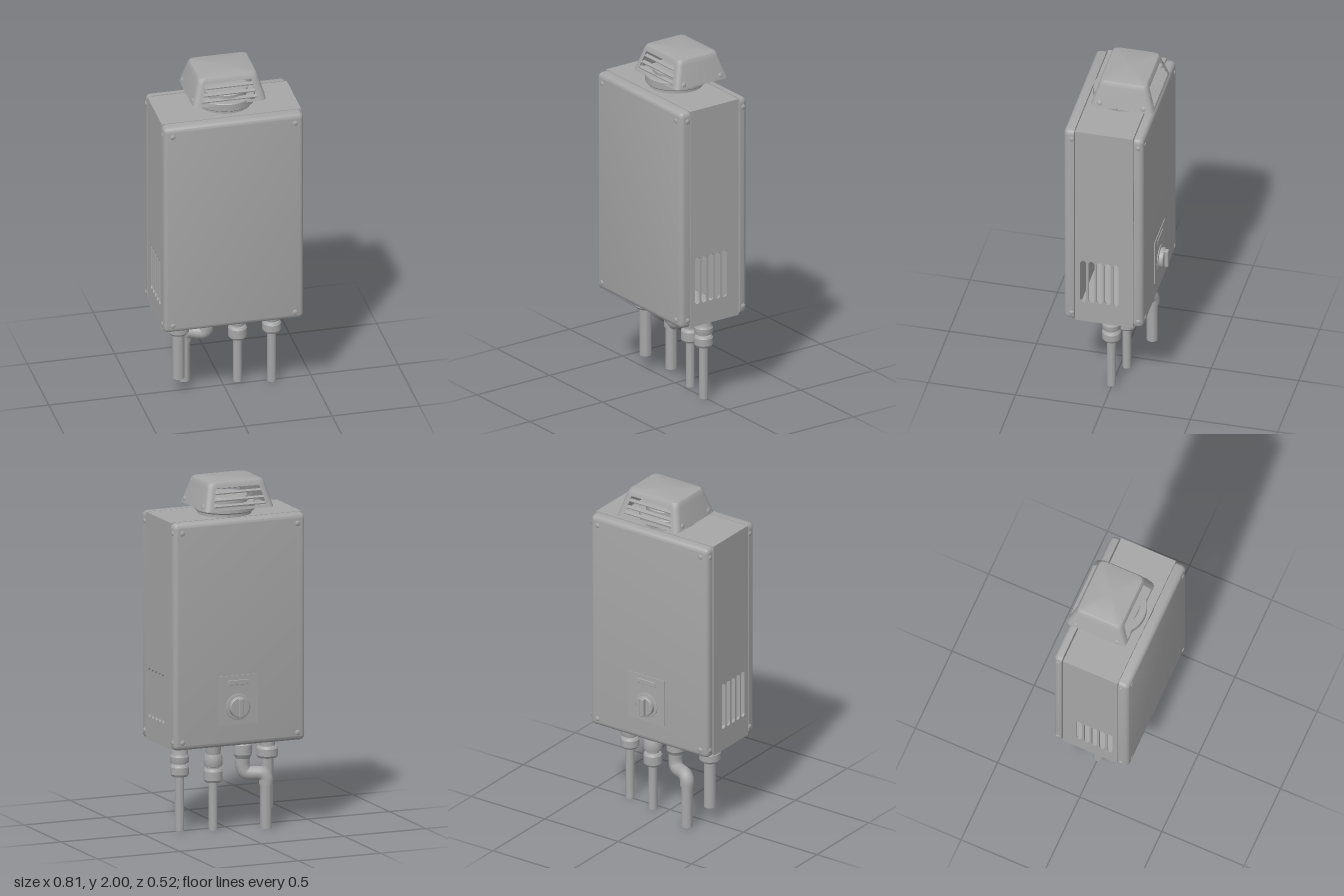
import * as THREE from 'three';
import { toCreasedNormals } from 'three/addons/utils/BufferGeometryUtils.js';
import { RoundedBoxGeometry } from 'three/addons/geometries/RoundedBoxGeometry.js';

const grey = new THREE.MeshStandardMaterial({ color: 0xa6a6a6, side: THREE.DoubleSide });
grey.name = 'grey';

const W = 0.8, BOTTOM = 0.5, TOP = 1.79, MID = (BOTTOM + TOP) / 2, H = TOP - BOTTOM;

function add(parent, name, geometry, x = 0, y = 0, z = 0) {
  const mesh = new THREE.Mesh(geometry, grey);
  mesh.name = name;
  mesh.position.set(x, y, z);
  parent.add(mesh);
  return mesh;
}

// Lathe from [radius, y] pairs, bottom to top, with crisp shoulders
function turned(profile, sides = 24) {
  const points = profile.map(([r, y]) => new THREE.Vector2(r, y));
  return toCreasedNormals(new THREE.LatheGeometry(points, sides), 0.5);
}

// Cover panel with rounded outer edges and a flat inner face at z = 0
function coverPanel(depth) {
  const r = 0.028;
  const g = new RoundedBoxGeometry(W, H, depth + r, 4, r);
  g.translate(0, 0, (depth - r) / 2);
  const p = g.attributes.position;
  for (let i = 0; i < p.count; i++) p.setZ(i, Math.max(0, p.getZ(i)));
  return toCreasedNormals(g, 0.6);
}

// Side plate drawn in (z, y) with five rounded ventilation slots
function sidePlate() {
  const s = new THREE.Shape();
  s.moveTo(-0.147, BOTTOM).lineTo(0.185, BOTTOM).lineTo(0.185, TOP).lineTo(-0.147, TOP).closePath();
  const r = 0.017;
  for (let i = 0; i < 5; i++) {
    const c = 0.137 - i * 0.0465;
    const slot = new THREE.Path();
    slot.absarc(c, 0.91 - r, r, 0, Math.PI);
    slot.absarc(c, 0.63 + r, r, Math.PI, 2 * Math.PI);
    slot.closePath();
    s.holes.push(slot);
  }
  const g = new THREE.ExtrudeGeometry(s, { depth: 0.012, bevelEnabled: false, curveSegments: 8 });
  g.rotateY(-Math.PI / 2); // (z, y, depth) -> x = -depth, z = shape x
  g.translate(0.006, 0, 0);
  return g;
}

// One ring of the cowl: rounded rectangle, with the opening corners at +-o
function cowlRing(y, hw, hd) {
  const r = 0.03, o = hw - 0.045, ring = [[-o, y, hd], [o, y, hd]];
  const corner = (sx, sz, start) => {
    for (let i = 0; i <= 4; i++) {
      const a = start - i * Math.PI / 8;
      ring.push([sx * (hw - r) + r * Math.cos(a), y, sz * (hd - r) + r * Math.sin(a)]);
    }
  };
  corner(1, 1, Math.PI / 2);
  corner(1, -1, 0);
  ring.push([o, y, -hd], [-o, y, -hd]);
  corner(-1, -1, -Math.PI / 2);
  corner(-1, 1, -Math.PI);
  return ring;
}

// Tapered cowl shell, open below and with a window front and back
function cowlShell() {
  const rings = [
    [1.845, 0.21, 0.181], [1.86, 0.206, 0.176], [1.968, 0.176, 0.142],
    [1.985, 0.171, 0.137], [1.996, 0.164, 0.13], [2.0, 0.152, 0.118],
  ].map((level) => cowlRing(...level));
  const n = rings[0].length, index = [];
  for (let j = 0; j < rings.length - 1; j++) {
    for (let i = 0; i < n; i++) {
      if (j === 1 && (i === 0 || i === 12)) continue;
      const k = (i + 1) % n, a = j * n + i, b = j * n + k;
      index.push(a, b, b + n, a, b + n, a + n);
    }
  }
  const last = (rings.length - 1) * n, centre = rings.length * n;
  for (let i = 0; i < n; i++) index.push(last + i, last + (i + 1) % n, centre);
  const g = new THREE.BufferGeometry();
  g.setAttribute('position', new THREE.Float32BufferAttribute([...rings.flat(2), 0, 2, 0], 3));
  g.setIndex(index);
  return toCreasedNormals(g, 0.6);
}

export function createModel() {
  const model = new THREE.Group();
  model.name = 'waterHeater';

  // Hollow casing between two separate cover panels
  const casing = new THREE.Group();
  casing.name = 'casing';
  model.add(casing);
  for (const s of [-1, 1]) add(casing, 'sidePlate', sidePlate(), s * 0.393);
  for (const y of [BOTTOM + 0.007, TOP - 0.007]) {
    add(casing, y < 1 ? 'floorPlate' : 'roofPlate', new THREE.BoxGeometry(0.78, 0.014, 0.332), 0, y, 0.019);
  }
  add(model, 'frontPanel', coverPanel(0.06), 0, MID, 0.19);
  add(model, 'backPanel', coverPanel(0.05), 0, MID, -0.155).rotation.y = Math.PI;

  // Screws at the panel corners and along the panel sides
  const screw = new THREE.SphereGeometry(0.015, 12, 6, 0, Math.PI * 2, 0, Math.PI / 2);
  screw.scale(1, 0.45, 1);
  for (const y of [0.545, 1.735]) {
    for (const s of [-1, 1]) {
      add(model, 'frontScrew', screw, s * 0.35, y, 0.249).rotation.x = Math.PI / 2;
      add(model, 'backScrew', screw, s * 0.35, y, -0.204).rotation.x = -Math.PI / 2;
      for (const z of [0.204, -0.177]) add(model, 'sideScrew', screw, s * 0.399, y, z).rotation.z = -s * Math.PI / 2;
    }
  }

  // Flue collar on the roof
  add(model, 'flueCollar', turned([
    [0.15, 1.785], [0.15, 1.805], [0.165, 1.81], [0.17, 1.815], [0.17, 1.855], [0.165, 1.86],
    [0.13, 1.86], [0.13, 1.89], [0.125, 1.895], [0, 1.895],
  ], 40), 0.005);

  // Cowl with tilted louvres front and back
  const cowl = new THREE.Group();
  cowl.name = 'cowl';
  cowl.position.set(0.004, 0, -0.037);
  model.add(cowl);
  add(cowl, 'cowlShell', cowlShell());
  for (const s of [-1, 1]) {
    [1.94, 1.902, 1.87].forEach((y) => {
      const t = (y - 1.845) / 0.155;
      const slat = add(cowl, 'louvre', new THREE.BoxGeometry(0.336 - 0.085 * t, 0.007, 0.022), 0, y, s * (0.17 - 0.05 * t));
      slat.rotation.x = s * 0.3;
    });
    for (const z of [0.127, -0.123]) add(cowl, 'cowlScrew', screw, s * 0.202, 1.868, z).rotation.z = -s * 1.3;
  }

  // Control plate, label and rotary knob on the back
  const control = new THREE.Group();
  control.name = 'control';
  control.position.set(0.014, 0.725, -0.205);
  control.rotation.y = Math.PI;
  model.add(control);
  add(control, 'controlPlate', new THREE.BoxGeometry(0.24, 0.28, 0.006), 0, 0.038, 0.001);
  add(control, 'controlLabel', new RoundedBoxGeometry(0.125, 0.028, 0.008, 2, 0.003), 0, 0.138, 0.004);
  add(control, 'knob', turned([
    [0.075, 0], [0.075, 0.008], [0.07, 0.01], [0.058, 0.01], [0.058, 0.03], [0.054, 0.034], [0, 0.034],
  ], 32)).rotation.x = Math.PI / 2;
  add(control, 'knobGrip', new RoundedBoxGeometry(0.03, 0.108, 0.034, 2, 0.006), 0, 0, 0.038);

  // Service pipes with union nuts under the casing
  const straightPipes = [
    ['outletPipe', -0.262, 0.014, [[0, 0.09], [0.034, 0.09], [0.034, 0.37], [0.052, 0.372], [0.061, 0.385],
      [0.061, 0.425], [0.052, 0.438], [0.045, 0.44], [0.045, 0.51]]],
    ['gasPipe', 0.09, -0.038, [[0, 0], [0.025, 0], [0.025, 0.27], [0.045, 0.272], [0.053, 0.285], [0.053, 0.335],
      [0.045, 0.348], [0.036, 0.35], [0.036, 0.36], [0.05, 0.365], [0.053, 0.38], [0.053, 0.41], [0.046, 0.43],
      [0.04, 0.43], [0.05, 0.51]]],
    ['inletPipe', 0.275, 0.005, [[0, 0], [0.025, 0], [0.025, 0.31], [0.045, 0.312], [0.053, 0.325], [0.053, 0.365],
      [0.045, 0.378], [0.036, 0.38], [0.036, 0.387], [0.05, 0.39], [0.053, 0.4], [0.053, 0.425], [0.046, 0.437],
      [0.044, 0.51]]],
    ['drainUnion', -0.08, -0.06, [[0.036, 0.39], [0.046, 0.41], [0.052, 0.42], [0.052, 0.475], [0.044, 0.485], [0.042, 0.51]]],
    ['drainPipe', -0.197, -0.115, [[0, 0], [0.032, 0], [0.032, 0.255], [0.04, 0.255], [0.04, 0.28]]],
  ];
  for (const [name, x, z, profile] of straightPipes) add(model, name, turned(profile), x, 0, z);

  // Double elbow joining the drain union to the offset pipe
  const bend = new THREE.CatmullRomCurve3([
    [-0.08, 0.41, -0.06], [-0.08, 0.35, -0.06], [-0.095, 0.315, -0.068],
    [-0.18, 0.307, -0.107], [-0.197, 0.28, -0.115], [-0.197, 0.25, -0.115],
  ].map((p) => new THREE.Vector3(...p)));
  add(model, 'drainElbow', new THREE.TubeGeometry(bend, 28, 0.04, 16));
  return model;
}
